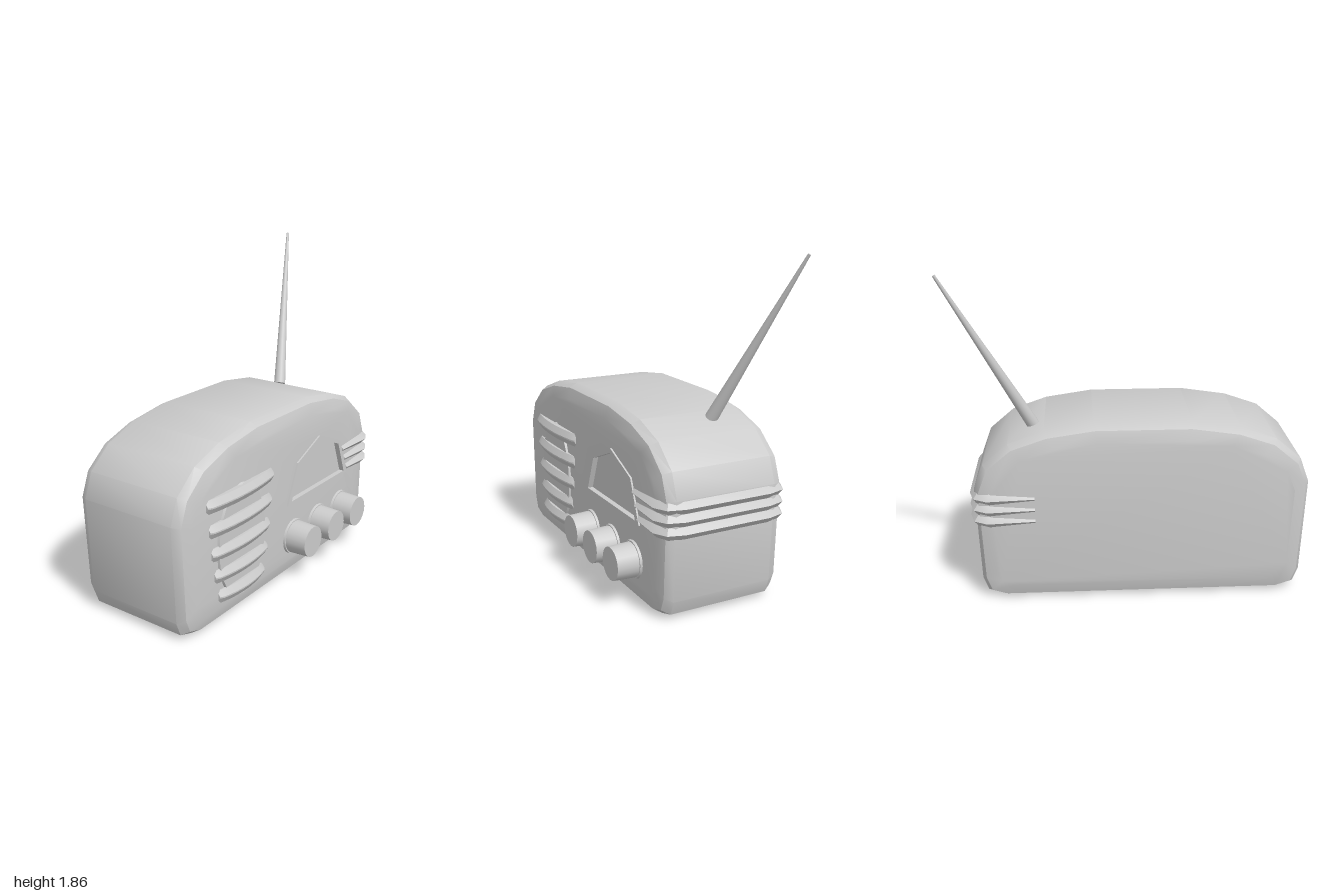
import * as THREE from 'three';
import { mergeGeometries, toCreasedNormals } from 'three/addons/utils/BufferGeometryUtils.js';

const V = (x, y, z) => new THREE.Vector3(x, y, z);
const material = new THREE.MeshStandardMaterial({ color: 0xcccccc, roughness: 0.7 });

function part(parent, name, geometry) {
  const mesh = new THREE.Mesh(geometry, material);
  mesh.name = name;
  parent.add(mesh);
  return mesh;
}

// Skin a row of closed cross-sections (counter-clockwise seen from the far end)
function loft(rings, capped = true) {
  const n = rings[0].length, index = [];
  for (let i = 0; i < rings.length - 1; i++) {
    for (let j = 0; j < n; j++) {
      const a = i * n + j, b = i * n + (j + 1) % n;
      index.push(a, b, b + n, a, b + n, a + n);
    }
  }
  if (capped) {
    const e = (rings.length - 1) * n;
    for (let j = 1; j < n - 1; j++) index.push(0, j + 1, j, e, e + j, e + j + 1);
  }
  const g = new THREE.BufferGeometry().setFromPoints(rings.flat());
  g.setIndex(index);
  return g.toNonIndexed();
}

const toShape = pts => new THREE.Shape(pts.map(([x, y]) => new THREE.Vector2(x, y)));

// Half of the cabinet outline, from the bottom up, relative to its centre line
const CX = -0.068, CY = 0.515;
const half = [[0.79, 0], [0.88, 0.03], [0.91, 0.11], [0.932, 0.66], [0.88, 0.8],
  [0.74, 0.92], [0.54, 0.99], [0.27, 1.03]];
const outline = [...half, ...half.map(([x, y]) => [-x, y]).reverse()];
const inset = d => outline.map(([x, y]) =>
  [CX + x * (1 - d / 0.932), CY + (y - CY) * (1 - d / CY)]);

const windowOuter = [[-0.07, 0.455], [0.6, 0.455], [0.505, 0.69], [0.265, 0.79], [0.03, 0.69]];
const windowInner = [[-0.03, 0.472], [0.558, 0.472], [0.483, 0.675], [0.265, 0.763], [0.048, 0.675]];

function cabinet() {
  const steps = [[0.09, -0.42], [0.026, -0.4], [0, -0.35], [0, 0.24], [0.026, 0.285], [0.09, 0.305]];
  const wall = loft(steps.map(([d, z]) => inset(d).map(([x, y]) => V(x, y, z))), false);
  const face = toShape(inset(0.09));
  const back = new THREE.ShapeGeometry(face).rotateY(Math.PI).translate(2 * CX, 0, -0.42);
  face.holes.push(new THREE.Path(windowInner.map(p => new THREE.Vector2(...p))));
  const front = new THREE.ShapeGeometry(face).translate(0, 0, 0.305);
  const pieces = [wall, back.toNonIndexed(), front.toNonIndexed()];
  pieces.forEach(g => { g.deleteAttribute('uv'); g.deleteAttribute('normal'); });
  return toCreasedNormals(mergeGeometries(pieces), 0.55);
}

// Bowed speaker bar with a ridged front and chamfered ends
function grilleBar(halfLength) {
  const rings = [];
  const add = (x, front) => {
    const z = front + 0.03 * (1 - (x / halfLength) ** 2), h = 0.039;
    rings.push([V(x, -h, 0.29), V(x, h, 0.29), V(x, h, z - 0.022),
      V(x, 0.004, z), V(x, -0.004, z), V(x, -h, z - 0.022)]);
  };
  add(-halfLength, 0.316);
  for (let i = 0; i <= 8; i++) add((halfLength - 0.022) * (i / 4 - 1), 0.325);
  add(halfLength, 0.316);
  return toCreasedNormals(loft(rings), 0.4);
}

// Triangular trim strip wrapping the left end of the cabinet
function trimStrip(startX) {
  const ridge = [[startX, 0.323], [0.79, 0.336], [0.865, 0.295], [0.892, 0.2],
    [0.892, -0.31], [0.865, -0.405], [0.79, -0.446], [0.53, -0.428]];
  const root = [[startX, 0.29], [0.775, 0.305], [0.842, 0.277], [0.864, 0.2],
    [0.864, -0.31], [0.842, -0.39], [0.775, -0.417], [0.53, -0.4]];
  const h = 0.033;
  return toCreasedNormals(loft(ridge.map(([x, z], i) => {
    const [rx, rz] = root[i];
    return [V(rx, -h, rz), V(rx, h, rz), V(x, 0, z)];
  })), 0.5);
}

export function createModel() {
  const model = new THREE.Group();
  model.name = 'tableRadio';
  part(model, 'cabinet', cabinet());

  // Dial window: raised frame around a recessed panel
  const frame = toShape(windowOuter);
  frame.holes.push(new THREE.Path(windowInner.map(p => new THREE.Vector2(...p))));
  part(model, 'dialFrame', new THREE.ExtrudeGeometry(frame, { depth: 0.035, bevelEnabled: false }))
    .position.z = 0.28;
  part(model, 'dialPanel', new THREE.ShapeGeometry(toShape(windowInner))).position.z = 0.284;

  // Speaker: oval backing and five bars, shorter towards the bottom
  const speaker = new THREE.Group();
  speaker.name = 'speaker';
  speaker.position.x = -0.508;
  model.add(speaker);
  const backing = part(speaker, 'speakerBacking',
    new THREE.CylinderGeometry(0.96, 1, 0.03, 24).rotateX(Math.PI / 2));
  backing.scale.set(0.215, 0.335, 1);
  backing.position.set(0, 0.425, 0.303);
  [[0.706, 0.293], [0.563, 0.275], [0.424, 0.257], [0.29, 0.234], [0.163, 0.203]]
    .forEach(([y, length]) => { part(speaker, 'speakerBar', grilleBar(length)).position.y = y; });

  // Knobs, each on a shallow collar
  for (const x of [0.005, 0.265, 0.522]) {
    const knob = new THREE.Group();
    knob.name = 'knob';
    knob.position.set(x, 0.24, 0);
    model.add(knob);
    part(knob, 'knobCollar', new THREE.CylinderGeometry(0.104, 0.11, 0.03, 20).rotateX(Math.PI / 2))
      .position.z = 0.303;
    part(knob, 'knobCap', new THREE.CylinderGeometry(0.092, 0.098, 0.14, 20).rotateX(Math.PI / 2))
      .position.z = 0.373;
  }

  // Side trim
  [[0.622, 0.533], [0.555, 0.56], [0.488, 0.587]].forEach(([y, startX]) => {
    part(model, 'trimStrip', trimStrip(startX)).position.y = y;
  });

  // Antenna leaning out and back
  const base = V(0.535, 0.965, -0.16), tip = V(0.986, 1.852, -0.412);
  const lean = tip.clone().sub(base);
  const antenna = part(model, 'antenna', new THREE.CylinderGeometry(0.008, 0.036, lean.length(), 16));
  antenna.position.copy(base).addScaledVector(lean, 0.5);
  antenna.quaternion.setFromUnitVectors(V(0, 1, 0), lean.normalize());
  return model;
}
